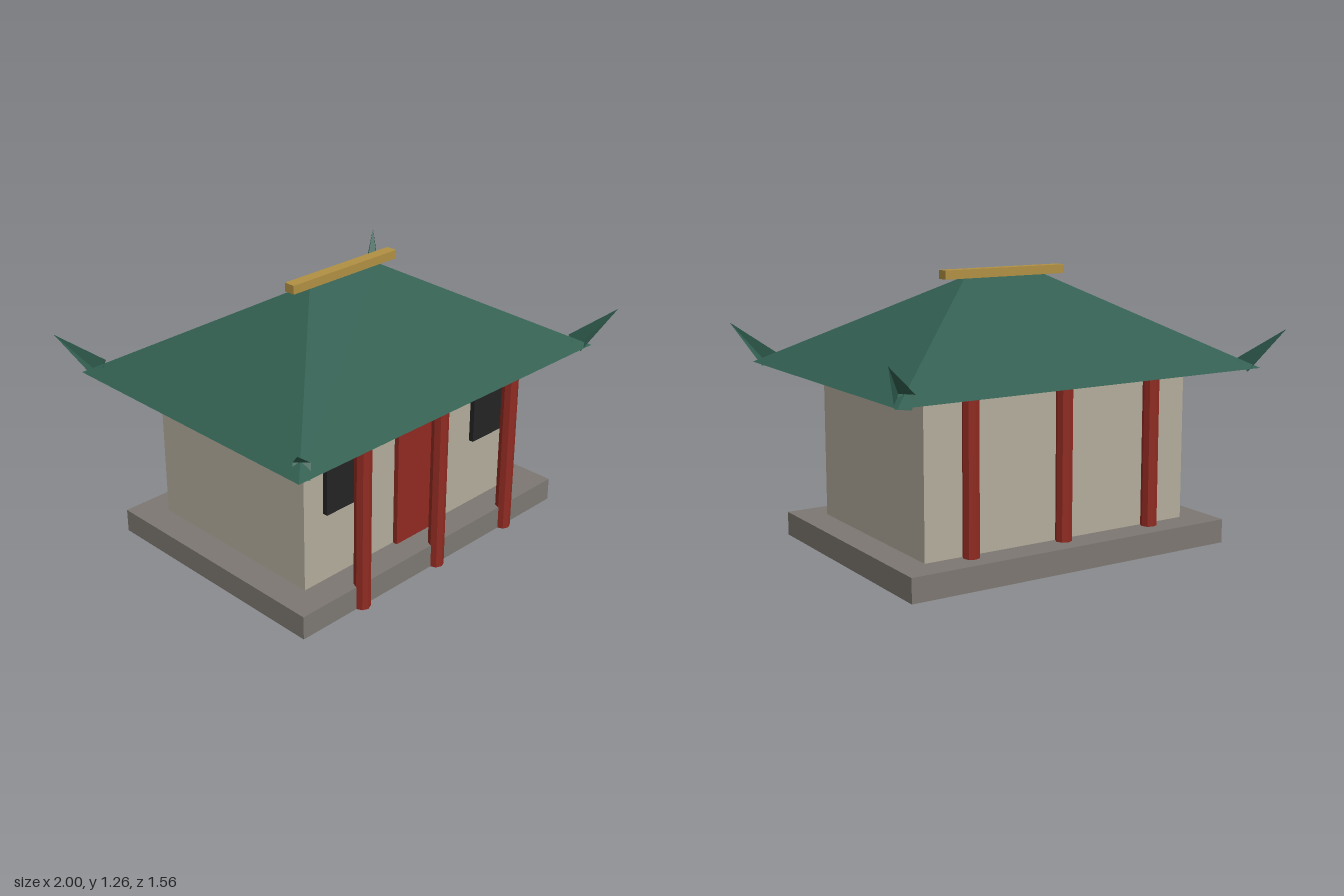
import * as THREE from 'three';

const mat = (name, color) => {
  const m = new THREE.MeshStandardMaterial({ color, flatShading: true });
  m.name = name;
  return m;
};

export function createModel() {
  const model = new THREE.Group();
  model.name = 'pavilion';

  const stone = mat('grey stone', 0x7c7771);
  const plaster = mat('beige plaster', 0xb3ac9c);
  const redWood = mat('red lacquer', 0x8f2a21);
  const tile = mat('green tile', 0x315e50);
  const gold = mat('gold trim', 0xb08f42);
  const black = mat('black shutter', 0x232323);

  const add = (name, geometry, material) => {
    const mesh = new THREE.Mesh(geometry, material);
    mesh.name = name;
    model.add(mesh);
    return mesh;
  };
  // Box given by its centre x and z, its bottom and its top
  const box = (name, material, x, z, w, d, y0, y1) =>
    add(name, new THREE.BoxGeometry(w, y1 - y0, d), material).position.set(x, (y0 + y1) / 2, z);

  // Platform, walls, door and windows
  box('platform', stone, 0, 0, 1.63, 1.2, 0, 0.11);
  box('walls', plaster, 0, 0, 1.355, 0.925, 0.11, 0.79);
  box('door', redWood, 0, 0.473, 0.276, 0.026, 0.11, 0.71);
  for (const s of [-1, 1]) box('window', black, s * 0.465, 0.473, 0.206, 0.026, 0.44, 0.65);

  // Octagonal columns, front row on the platform edge, back row against the wall
  for (const [row, z, y0] of [['front', 0.598, 0], ['back', -0.49, 0.002]]) {
    for (const x of [-0.47, 0, 0.47]) {
      const h = 0.83 - y0;
      add(row + 'Column', new THREE.CylinderGeometry(0.037, 0.037, h, 8), redWood)
        .position.set(x, y0 + h / 2, z);
    }
  }

  // Hipped roof: a box whose top corners are drawn in to the ridge
  const roof = new THREE.BoxGeometry(2, 2, 2);
  const p = roof.attributes.position;
  for (let i = 0; i < p.count; i++) {
    const top = p.getY(i) > 0;
    p.setXYZ(i, p.getX(i) * (top ? 0.207 : 0.923), top ? 1.228 : 0.82, p.getZ(i) * (top ? 0.012 : 0.703));
  }
  roof.computeVertexNormals();
  add('roof', roof, tile);
  box('ridgeBeam', gold, 0, 0, 0.63, 0.055, 1.225, 1.265);

  // Upturned eave horns: four-sided spikes leaning out from the roof corners
  const up = new THREE.Vector3(0, 1, 0);
  for (const sx of [-1, 1]) {
    for (const sz of [-1, 1]) {
      const base = new THREE.Vector3(sx * 0.862, 0.833, sz * 0.652);
      const tip = new THREE.Vector3(sx, 1, sz * 0.78);
      const axis = tip.clone().sub(base);
      const length = axis.length();
      axis.normalize();
      const side = new THREE.Vector3().crossVectors(axis, up).normalize();
      const third = new THREE.Vector3().crossVectors(side, axis);
      const horn = new THREE.ConeGeometry(0.05, length, 4);
      horn.rotateY(Math.PI / 4);
      horn.translate(0, length / 2, 0);
      horn.applyMatrix4(new THREE.Matrix4().makeBasis(side, axis, third.negate()));
      add('eaveHorn', horn, tile).position.copy(base);
    }
  }

  return model;
}
